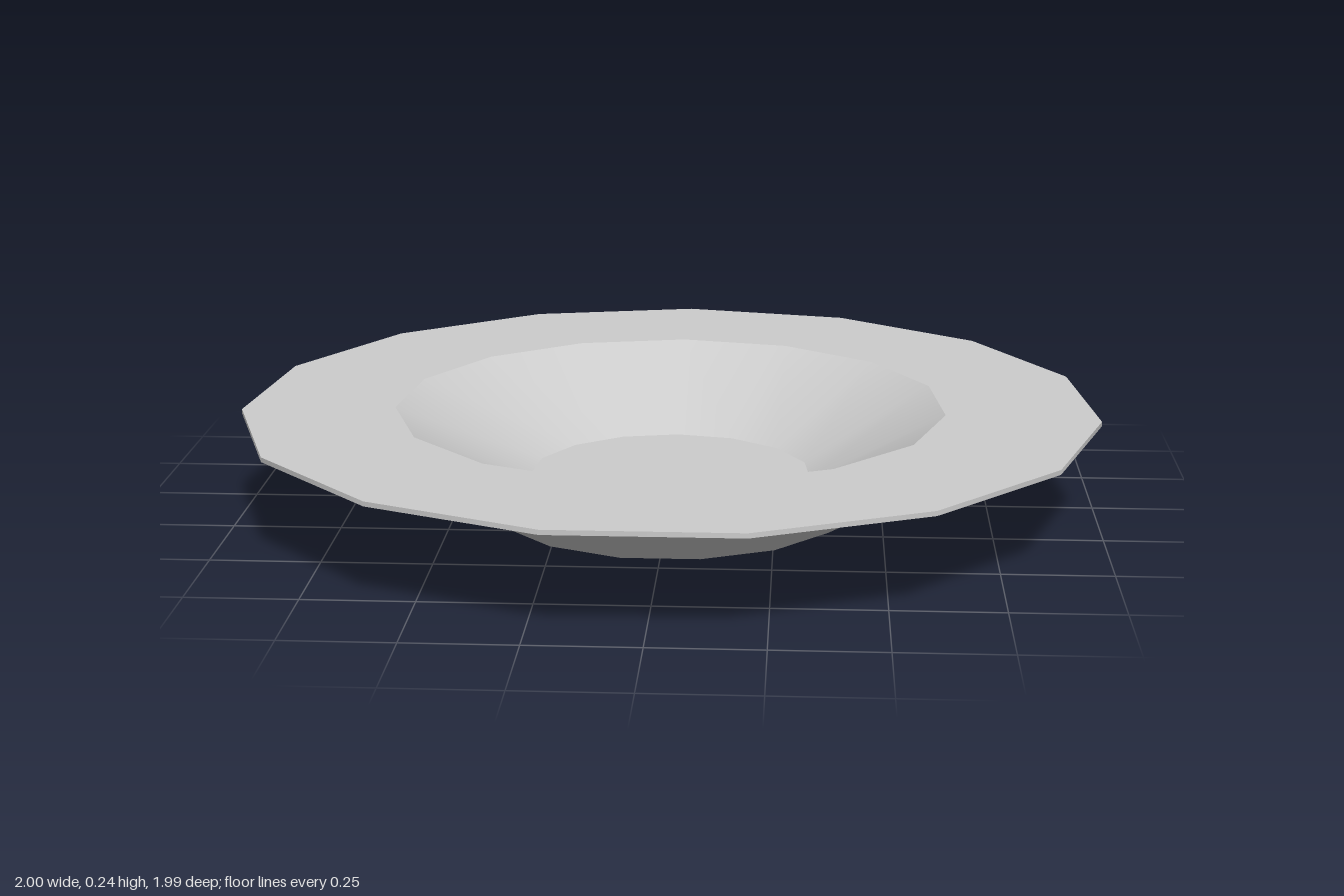
import * as THREE from 'three';

const SIDES = 15;
const material = new THREE.MeshStandardMaterial({ color: 0xcccccc });

// One ring of the dish: smooth around, creased against its neighbours.
function band(name, [r0, y0], [r1, y1]) {
  const points = [new THREE.Vector2(r0, y0), new THREE.Vector2(r1, y1)];
  const mesh = new THREE.Mesh(new THREE.LatheGeometry(points, SIDES, Math.PI), material);
  mesh.name = name;
  return mesh;
}

export function createModel() {
  const group = new THREE.Group();
  group.name = 'wideRimmedBowl';

  // Closed profile, from the centre of the base out, over the rim and into the well
  const profile = [
    [0, 0], [0.432, 0], [0.744, 0.18], [1.0055, 0.233],
    [1.0055, 0.244], [0.647, 0.244], [0.334, 0.075], [0, 0.075],
  ];
  const names = ['base', 'outerWall', 'rimUnderside', 'rimEdge', 'rimTop', 'innerWall', 'floor'];
  names.forEach((name, i) => group.add(band(name, profile[i], profile[i + 1])));

  // Odd number of sides: shift so the bounds are centred
  group.children.forEach((mesh) => { mesh.position.z = 0.011; });
  return group;
}
